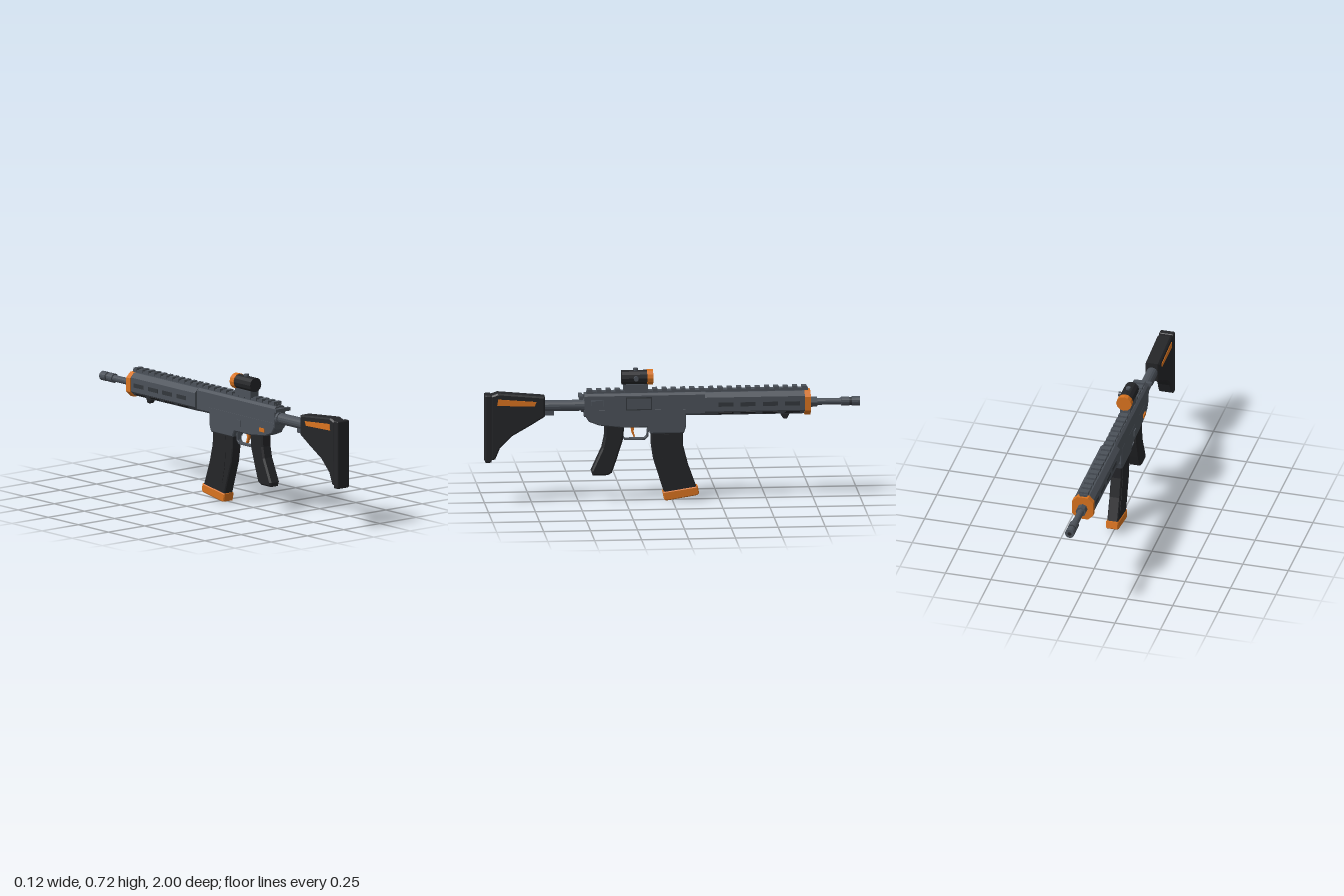
import * as THREE from 'three';
import { RoundedBoxGeometry } from 'three/addons/geometries/RoundedBoxGeometry.js';

const mat = (color) => new THREE.MeshStandardMaterial({ color, flatShading: true });

export function createModel() {
  const root = new THREE.Group();
  const grey = mat(0x4b5159), black = mat(0x242528), orange = mat(0xd9731f);
  const dark = mat(0x33373c);

  const add = (name, geometry, material) => {
    const mesh = new THREE.Mesh(geometry, material);
    mesh.name = name;
    root.add(mesh);
    return mesh;
  };
  // Side profile of [z, y] points, extruded across x with bevelled edges
  const plate = (name, pts, halfWidth, material, bevel = 0.006, x = 0) => {
    const shape = new THREE.Shape(pts.map(([z, y]) => new THREE.Vector2(z, y)));
    const g = new THREE.ExtrudeGeometry(shape, {
      depth: 2 * (halfWidth - bevel), bevelEnabled: bevel > 0, bevelSize: bevel,
      bevelThickness: bevel, bevelOffset: -bevel, bevelSegments: 1,
    });
    g.translate(0, 0, -(halfWidth - bevel)).rotateY(-Math.PI / 2).translate(x, 0, 0);
    return add(name, g, material);
  };
  const box = (name, w, h, d, x, y, z, material) =>
    add(name, new THREE.BoxGeometry(w, h, d).translate(x, y, z), material);
  // Cylinder along z between two stations
  const rod = (name, r, z0, z1, y, material, sides = 16) =>
    add(name, new THREE.CylinderGeometry(r, r, Math.abs(z1 - z0), sides)
      .rotateX(Math.PI / 2).translate(0, y, (z0 + z1) / 2), material);
  // Chamfered box section running along z
  const octagon = (name, hw, y0, y1, c, z0, z1, material) => {
    const shape = new THREE.Shape([
      [hw, y0 + c], [hw, y1 - c], [hw - c, y1], [c - hw, y1],
      [-hw, y1 - c], [-hw, y0 + c], [c - hw, y0], [hw - c, y0],
    ].map(([x, y]) => new THREE.Vector2(x, y)));
    const g = new THREE.ExtrudeGeometry(shape, { depth: z1 - z0, bevelEnabled: false });
    return add(name, g.translate(0, 0, z0), material);
  };

  // Shoulder stock
  plate('stock', [[0.967, 0.235], [0.967, 0.585], [0.93, 0.598], [0.68, 0.575], [0.68, 0.468],
    [0.75, 0.425], [0.853, 0.366], [0.92, 0.30], [0.945, 0.24]], 0.038, black, 0.008);
  add('buttPad', new RoundedBoxGeometry(0.082, 0.367, 0.036, 2, 0.008)
    .translate(0, 0.407, 0.982), black);
  for (const s of [-1, 1]) {
    plate('stockStripe', [[0.935, 0.532], [0.93, 0.567], [0.725, 0.55], [0.735, 0.526]],
      0.002, orange, 0, s * 0.0385);
  }
  rod('bufferTube', 0.03, 0.70, 0.46, 0.52, grey);
  box('stockLatch', 0.03, 0.03, 0.06, 0, 0.485, 0.66, grey);
  rod('tubeCollar', 0.036, 0.485, 0.46, 0.52, grey);

  // Receiver
  octagon('upperReceiver', 0.037, 0.46, 0.585, 0.012, -0.175, 0.47, grey);
  plate('lowerReceiver', [[0.472, 0.50], [0.467, 0.468], [0.446, 0.436], [0.39, 0.414],
    [0.265, 0.40], [0.135, 0.40], [0.12, 0.366], [-0.06, 0.366], [-0.072, 0.40],
    [-0.072, 0.50]], 0.0375, grey, 0.005);
  box('chargingHandle', 0.1, 0.018, 0.02, 0, 0.568, 0.488, grey);
  box('chargingHandleStem', 0.03, 0.018, 0.04, 0, 0.568, 0.475, grey);
  box('ejectionPort', 0.004, 0.07, 0.14, 0.038, 0.53, 0.18, dark);
  box('ejectionCover', 0.004, 0.058, 0.128, 0.039, 0.53, 0.18, grey);
  box('forwardAssist', 0.018, 0.026, 0.06, 0.043, 0.538, 0.405, grey);
  box('assistButton', 0.012, 0.035, 0.03, 0.04, 0.537, 0.355, grey);
  box('selector', 0.01, 0.02, 0.04, -0.039, 0.445, 0.37, orange);
  box('boltCatch', 0.008, 0.035, 0.03, -0.039, 0.45, 0.18, grey);

  // Handguard with slots on the sides and lower chamfers
  octagon('handguard', 0.053, 0.46, 0.583, 0.024, -0.705, -0.172, grey);
  octagon('handguardCap', 0.058, 0.452, 0.583, 0.028, -0.735, -0.703, orange);
  for (let i = 0; i < 4; i++) {
    const z = -0.283 - i * 0.118;
    for (const s of [-1, 1]) {
      box('sideSlot', 0.003, 0.022, 0.08, s * 0.053, 0.52, z, dark);
      const low = box('lowerSlot', 0.003, 0.016, 0.08, 0, 0, 0, black);
      low.position.set(s * 0.041, 0.472, z);
      low.rotation.z = -s * Math.PI / 4;
    }
  }
  plate('handStop', [[-0.57, 0.465], [-0.585, 0.44], [-0.595, 0.43], [-0.612, 0.43],
    [-0.628, 0.465]], 0.016, black, 0.004);

  // Top rail
  box('railBase', 0.04, 0.018, 1.18, 0, 0.587, -0.133, grey);
  for (let i = 0; i < 24; i++) {
    box('railTooth', 0.05, 0.018, 0.026, 0, 0.598, 0.44 - i * 0.0497, grey);
  }

  // Barrel and muzzle
  rod('barrelNut', 0.028, -0.72, -0.772, 0.516, grey, 8);
  rod('barrel', 0.018, -0.76, -0.99, 0.516, grey);
  rod('muzzleRear', 0.025, -0.90, -0.943, 0.516, grey);
  rod('muzzleNeck', 0.021, -0.94, -0.97, 0.516, dark);
  rod('muzzleFront', 0.025, -0.957, -1.0, 0.516, grey);
  rod('bore', 0.011, -0.99, -1.0005, 0.516, black);

  // Optic
  box('opticMount', 0.054, 0.036, 0.13, 0, 0.615, 0.195, grey);
  rod('opticBody', 0.039, 0.27, 0.13, 0.667, black, 12);
  rod('opticLens', 0.042, 0.135, 0.103, 0.667, orange, 12);
  add('topTurret', new THREE.CylinderGeometry(0.013, 0.013, 0.03, 12)
    .translate(0, 0.701, 0.195), grey);
  add('sideTurret', new THREE.CylinderGeometry(0.013, 0.013, 0.03, 12)
    .rotateZ(Math.PI / 2).translate(0.038, 0.667, 0.195), grey);

  // Pistol grip
  plate('pistolGrip', [[0.36, 0.42], [0.255, 0.42], [0.265, 0.33], [0.30, 0.22], [0.323, 0.155],
    [0.345, 0.142], [0.425, 0.142], [0.432, 0.165], [0.375, 0.29], [0.362, 0.35]],
  0.033, black, 0.009);

  // Trigger and guard
  const guard = [[0.265, 0.345], [0.255, 0.328], [0.145, 0.328], [0.128, 0.345], [0.122, 0.40],
    [0.132, 0.40], [0.137, 0.35], [0.149, 0.338], [0.251, 0.338], [0.265, 0.355]];
  plate('triggerGuard', guard, 0.014, grey, 0.001);
  plate('trigger', [[0.222, 0.41], [0.20, 0.41], [0.206, 0.375], [0.198, 0.345], [0.206, 0.343],
    [0.218, 0.372]], 0.008, orange, 0.001);

  // Curved magazine
  plate('magazine', [[0.113, 0.39], [-0.055, 0.39], [-0.056, 0.30], [-0.083, 0.195],
    [-0.132, 0.06], [0.042, 0.035], [0.067, 0.115], [0.10, 0.22], [0.112, 0.30]],
  0.0295, black, 0.005);
  for (const s of [-1, 1]) {
    plate('magazinePanel', [[0.055, 0.36], [-0.03, 0.36], [-0.033, 0.30], [-0.055, 0.205],
      [-0.085, 0.12], [0.03, 0.105], [0.05, 0.20], [0.057, 0.29]],
    0.0015, black, 0, s * 0.0302);
  }
  plate('magazineBase', [[0.052, 0.046], [0.042, 0.002], [0.03, 0], [-0.13, 0.026],
    [-0.142, 0.036], [-0.135, 0.073], [-0.125, 0.073]], 0.034, orange, 0.005);

  return root;
}
